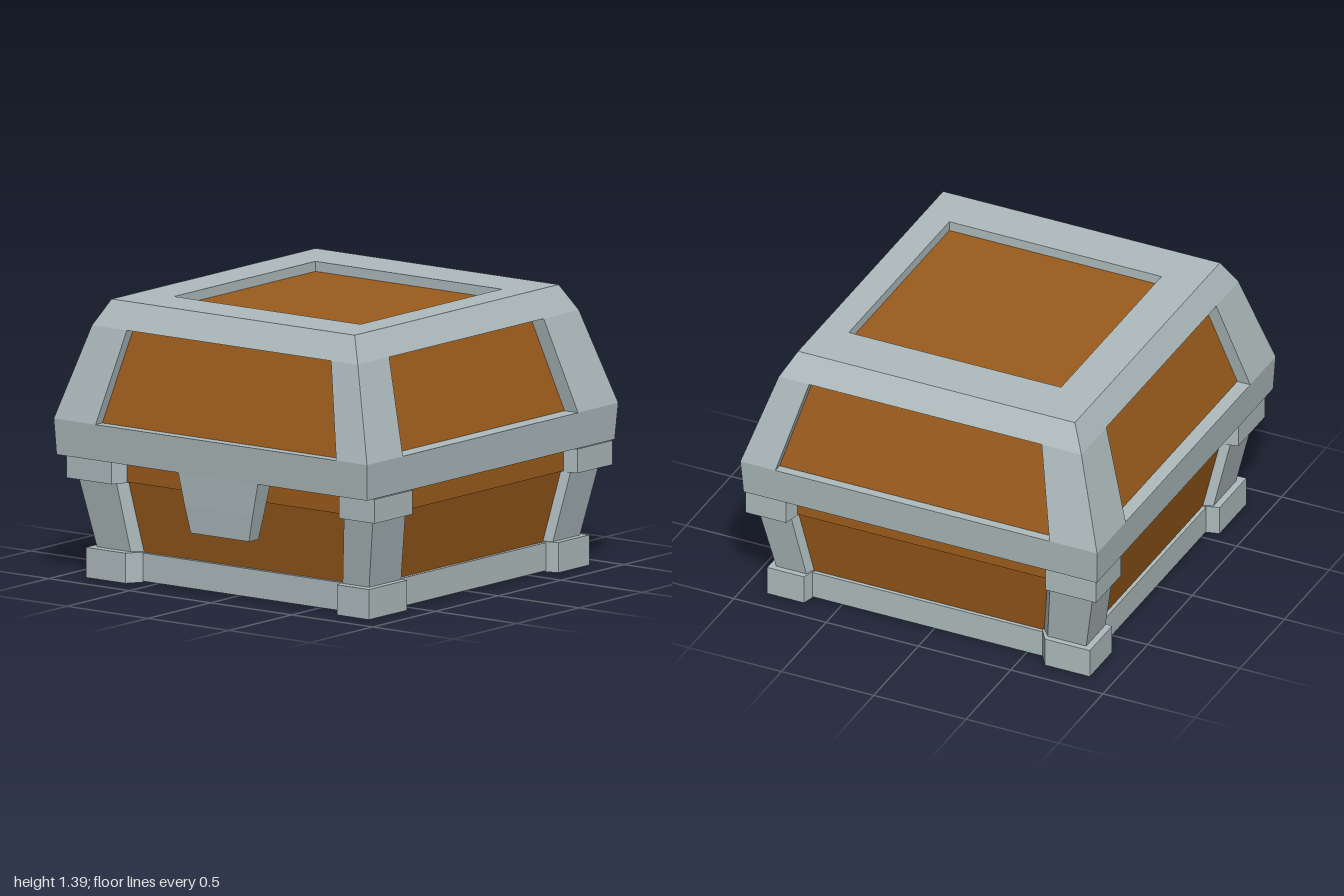
import * as THREE from 'three';

const metal = new THREE.MeshStandardMaterial({ color: 0xaebbbd, flatShading: true });
const wood = new THREE.MeshStandardMaterial({ color: 0x9c5c1c, flatShading: true });

const V = (x, y, z) => new THREE.Vector3(x, y, z);

function meshFromTriangles(name, tris, material) {
  const geo = new THREE.BufferGeometry().setFromPoints(tris);
  geo.computeVertexNormals();
  const mesh = new THREE.Mesh(geo, material);
  mesh.name = name;
  return mesh;
}

// Adds a convex polygon as a fan, wound so that it faces along `facing`
function addPolygon(tris, pts, facing) {
  const n = V(0, 0, 0);
  for (let i = 1; i < pts.length - 1; i++) {
    n.add(pts[i].clone().sub(pts[0]).cross(pts[i + 1].clone().sub(pts[0])));
  }
  const p = n.dot(facing) < 0 ? [...pts].reverse() : pts;
  for (let i = 1; i < p.length - 1; i++) tris.push(p[0], p[i], p[i + 1]);
}

// Closed solid through convex rings that have the same number of corners
function loft(name, rings, material) {
  const tris = [];
  const up = V(0, 1, 0);
  const count = rings[0].length;
  for (let r = 0; r < rings.length - 1; r++) {
    const [a, b] = [rings[r], rings[r + 1]];
    const centre = [...a, ...b].reduce((s, p) => s.add(p), V(0, 0, 0)).divideScalar(2 * count);
    for (let i = 0; i < count; i++) {
      const j = (i + 1) % count;
      const q = [a[i], a[j], b[j], b[i]];
      const mid = V(0, 0, 0);
      q.forEach((p) => mid.addScaledVector(p, 0.25));
      const out = mid.sub(centre);
      out.y *= 0.01;
      addPolygon(tris, q, out);
    }
  }
  addPolygon(tris, rings[0], up.clone().negate());
  addPolygon(tris, rings[rings.length - 1], up);
  return meshFromTriangles(name, tris, material);
}

const rect = (x0, x1, z0, z1, y) => [V(x0, y, z0), V(x1, y, z0), V(x1, y, z1), V(x0, y, z1)];

// Body: plinth, flared wooden walls and the straight band below the lid
function buildBody() {
  const body = new THREE.Group();
  body.name = 'body';
  const box = (x, zBack, zFront, y) => rect(-x, x, zBack, zFront, y);
  body.add(loft('plinth', [box(0.81, -0.825, 0.79, 0.005), box(0.81, -0.825, 0.79, 0.145)], metal));
  body.add(loft('bodyWalls', [box(0.79, -0.805, 0.77, 0.145), box(0.86, -0.87, 0.83, 0.5)], wood));
  body.add(loft('bodyBand', [box(0.875, -0.885, 0.845, 0.5), box(0.875, -0.885, 0.845, 0.63)], wood));
  return body;
}

// Corner bracket section: square outside, with chamfers running back into the walls.
// x and z are each [outer, edge of the face, end of the chamfer]
function cornerRing(x, z, y, depth = 0.06) {
  const bx = x[0] - Math.sign(x[0]) * depth;
  const bz = z[0] - Math.sign(z[0]) * depth;
  return [V(x[0], y, z[0]), V(x[0], y, z[1]), V(bx, y, z[2]), V(x[2], y, bz), V(x[1], y, z[0])];
}

function buildCorners() {
  const group = new THREE.Group();
  group.name = 'cornerBrackets';
  // Edge positions [face, chamfer] at the foot and at the top of the post
  const xs = [
    { s: -1, low: [-0.63, -0.58], high: [-0.675, -0.63], foot: 0.874, post: [0.838, 0.908], cap: 0.95 },
    { s: 1, low: [0.675, 0.655], high: [0.73, 0.71], foot: 0.874, post: [0.838, 0.908], cap: 0.95 },
  ];
  const zs = [
    { s: 1, low: [0.566, 0.546], high: [0.62, 0.6], foot: 0.866, post: [0.82, 0.88], cap: 0.92 },
    { s: -1, low: [-0.64, -0.62], high: [-0.695, -0.675], foot: 0.887, post: [0.855, 0.92], cap: 0.973 },
  ];
  for (const x of xs) {
    for (const z of zs) {
      const ring = (out, edge, y, depth) =>
        cornerRing([x.s * out(x), ...x[edge]], [z.s * out(z), ...z[edge]], y, depth);
      const corner = new THREE.Group();
      corner.name = (z.s > 0 ? 'front' : 'back') + (x.s > 0 ? 'Left' : 'Right') + 'Corner';
      corner.add(
        loft('foot', [ring((c) => c.foot, 'low', 0, 0.075), ring((c) => c.foot, 'low', 0.15, 0.075)], metal),
        loft('post', [ring((c) => c.post[0], 'low', 0.14), ring((c) => c.post[1], 'high', 0.5)], metal),
        loft('cap', [ring((c) => c.cap, 'high', 0.495, 0.09), ring((c) => c.cap, 'high', 0.615, 0.09)], metal),
      );
      group.add(corner);
    }
  }
  return group;
}

// Lid: tapered metal frame with a sunken wooden panel on each side and on top
function buildLid() {
  const lid = new THREE.Group();
  lid.name = 'lid';
  const frame = [];
  const levels = [
    { y: 0.62, x: [-0.96, 0.955], z: [-0.985, 0.988] },
    { y: 0.8, x: [-0.968, 0.965], z: [-1, 1] },
    { y: 1.262, x: [-0.825, 0.815], z: [-0.88, 0.88] },
    { y: 1.39, x: [-0.757, 0.743], z: [-0.812, 0.812] },
  ];

  // Frame face around an opening, the opening's walls, and the panel at its back
  function sunkenPanel(name, outer, opening, inward) {
    const facing = inward.clone().negate();
    const back = opening.map((p) => p.clone().add(inward));
    const centre = V(0, 0, 0);
    opening.forEach((p) => centre.addScaledVector(p, 0.25));
    for (let i = 0; i < 4; i++) {
      const j = (i + 1) % 4;
      addPolygon(frame, [outer[i], outer[j], opening[j], opening[i]], facing);
      const mid = opening[i].clone().add(opening[j]).multiplyScalar(0.5);
      addPolygon(frame, [opening[i], opening[j], back[j], back[i]], centre.clone().sub(mid));
    }
    const panel = [];
    addPolygon(panel, back, facing);
    lid.add(meshFromTriangles(name, panel, wood));
  }

  const sides = [
    { name: 'front', axis: 'z', k: 1, low: [-0.71, 0.775], high: [-0.61, 0.65], depth: 0.053 },
    { name: 'back', axis: 'z', k: 0, low: [-0.71, 0.775], high: [-0.61, 0.65], depth: 0.048 },
    { name: 'left', axis: 'x', k: 1, low: [-0.68, 0.715], high: [-0.6, 0.63], depth: 0.083 },
    { name: 'right', axis: 'x', k: 0, low: [-0.68, 0.715], high: [-0.6, 0.63], depth: 0.07 },
  ];
  for (const { name, axis, k, low, high, depth } of sides) {
    const along = axis === 'z' ? 'x' : 'z';
    const point = (u, l) => (axis === 'z' ? V(u, l.y, l.z[k]) : V(l.x[k], l.y, u));
    const quad = (a, b, ua = a[along], ub = b[along]) =>
      [point(ua[0], a), point(ua[1], a), point(ub[1], b), point(ub[0], b)];
    const out = V(0, 0, 0);
    out[axis] = k ? 1 : -1;
    addPolygon(frame, quad(levels[0], levels[1]), out);
    addPolygon(frame, quad(levels[2], levels[3]), out);
    sunkenPanel(name + 'LidPanel', quad(levels[1], levels[2]),
      quad(levels[1], levels[2], low, high), out.clone().multiplyScalar(-depth));
  }

  const [rim, top] = [levels[0], levels[3]];
  sunkenPanel('topLidPanel', rect(...top.x, ...top.z, top.y), rect(-0.555, 0.595, -0.55, 0.575, top.y), V(0, -0.05, 0));
  addPolygon(frame, rect(...rim.x, ...rim.z, rim.y), V(0, -1, 0));
  lid.add(meshFromTriangles('lidFrame', frame, metal));
  return lid;
}

// Clasp: tapered plate hanging from the front of the lid
function buildClasp() {
  return loft('clasp', [
    rect(-0.145, 0.215, 0.897, 0.972, 0.325),
    rect(-0.175, 0.246, 0.89, 0.982, 0.46),
    rect(-0.21, 0.282, 0.885, 0.988, 0.622),
  ], metal);
}

export function createModel() {
  const chest = new THREE.Group();
  chest.name = 'chest';
  chest.add(buildBody(), buildCorners(), buildLid(), buildClasp());
  return chest;
}
